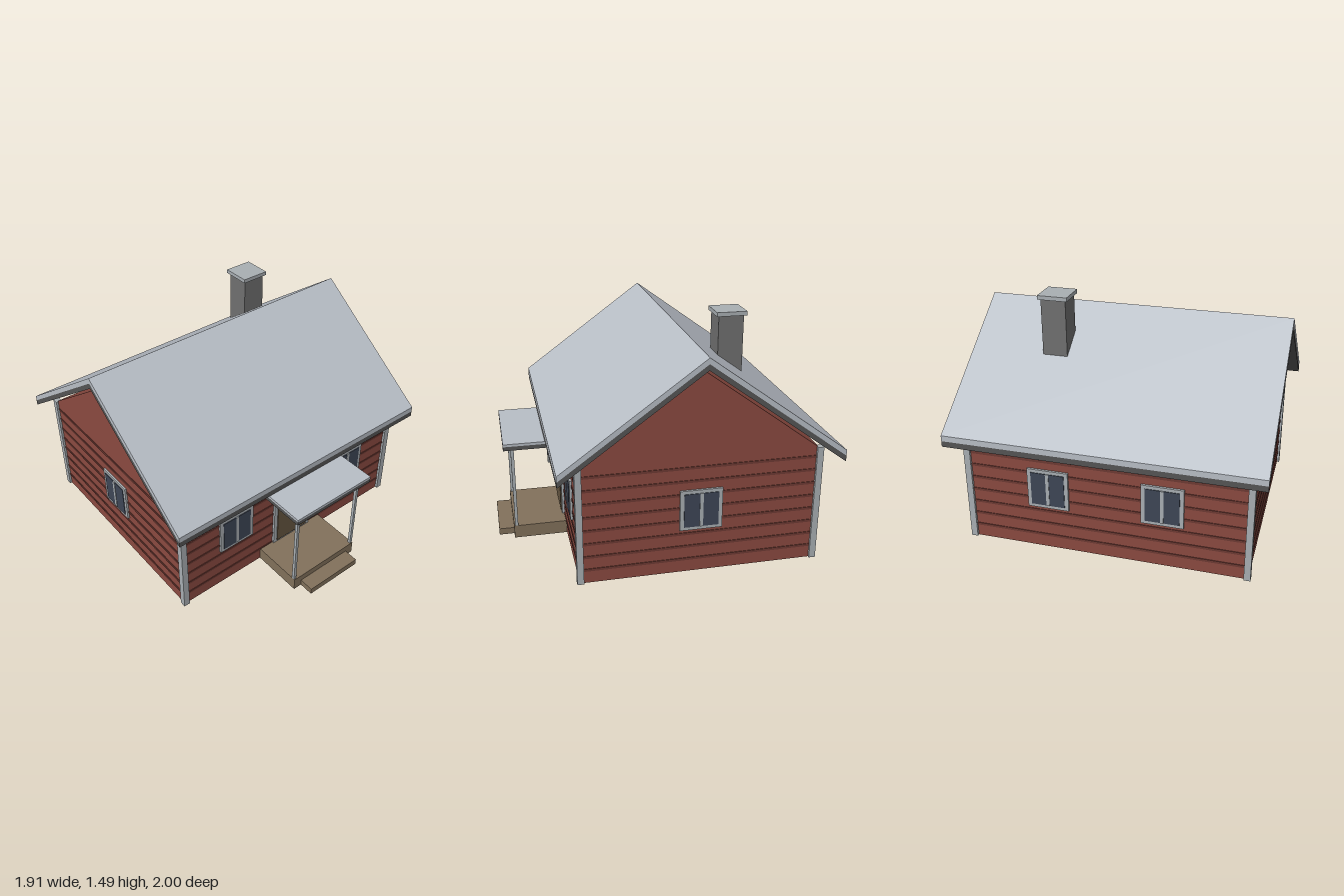
import * as THREE from 'three';

const mat = (color) => new THREE.MeshStandardMaterial({ color });
const M = {
  wall: mat(0x8b4a40), groove: mat(0x6e3a33), trim: mat(0xa9afb3), roof: mat(0xb8bec6),
  eave: mat(0x555555), glass: mat(0x3e4656), door: mat(0x655641), wood: mat(0x82715b),
  chimney: mat(0x707070), metal: mat(0xa8a48c),
};

const MID = -0.156; // z of the ridge
const HX = 0.865, HZ = 0.723; // half size of the walls

// Box given by its limits on each axis
function box(parent, name, material, [x0, x1], [y0, y1], [z0, z1]) {
  const mesh = new THREE.Mesh(new THREE.BoxGeometry(x1 - x0, y1 - y0, z1 - z0), material);
  mesh.position.set((x0 + x1) / 2, (y0 + y1) / 2, (z0 + z1) / 2);
  mesh.name = name;
  parent.add(mesh);
  return mesh;
}

// Gable-end outline in [z, y], extruded along x and centred
function gablePrism(parent, name, material, points, halfX) {
  const shape = new THREE.Shape(points.map(([z, y]) => new THREE.Vector2(-z, y)));
  const geo = new THREE.ExtrudeGeometry(shape, { depth: halfX * 2, bevelEnabled: false });
  geo.translate(0, 0, -halfX);
  geo.rotateY(Math.PI / 2);
  const mesh = new THREE.Mesh(geo, material);
  mesh.position.z = MID;
  mesh.name = name;
  parent.add(mesh);
}

// Chevron roof layer: top of ridge, top of eave, vertical thickness
function roofLayer(parent, name, material, ridge, eave, t) {
  const h = 0.844;
  gablePrism(parent, name, material, [
    [-h, eave], [0, ridge], [h, eave], [h, eave - t], [0, ridge - t], [-h, eave - t],
  ], 0.957);
}

// Two-pane window facing +z, its back on the wall plane
function makeWindow(x, z, angle) {
  const g = new THREE.Group();
  g.name = 'window';
  box(g, 'windowFrame', M.trim, [-0.128, 0.128], [-0.128, 0.128], [-0.01, 0.014]);
  for (const s of [-1, 1]) {
    const edges = [s * 0.01, s * 0.104].sort((a, b) => a - b);
    box(g, 'windowPane', M.glass, edges, [-0.107, 0.107], [0, 0.018]);
  }
  box(g, 'windowMullion', M.trim, [-0.01, 0.01], [-0.107, 0.107], [0, 0.021]);
  g.position.set(x, 0.413, z);
  g.rotation.y = angle;
  return g;
}

export function createModel() {
  const house = new THREE.Group();
  house.name = 'cottage';
  const front = MID + HZ, back = MID - HZ;

  // Walls with both gables
  gablePrism(house, 'walls', M.wall, [
    [-HZ, 0], [-HZ, 0.73], [0, 1.26], [HZ, 0.73], [HZ, 0],
  ], HX);

  // Siding lines round the house
  for (let i = 1; i <= 8; i++) {
    const y = i * 0.085;
    box(house, 'sidingLine', M.groove, [-HX - 0.004, HX + 0.004], [y - 0.008, y + 0.008],
      [back - 0.004, front + 0.004]);
  }

  // Corner boards
  for (const sx of [-1, 1]) for (const sz of [-1, 1]) {
    const board = box(house, 'cornerBoard', M.trim, [-0.02, 0.02], [0, 0.742], [-0.02, 0.02]);
    board.position.x = sx * 0.86;
    board.position.z = MID + sz * 0.719;
  }

  // Roof covering over a dark underlayer
  roofLayer(house, 'roofCovering', M.roof, 1.362, 0.747, 0.036);
  roofLayer(house, 'roofUnderlayer', M.eave, 1.326, 0.711, 0.036);

  // Chimney
  box(house, 'chimneyStack', M.chimney, [0.343, 0.497], [1.0, 1.462], [-0.497, -0.343]);
  box(house, 'chimneyCap', M.trim, [0.328, 0.512], [1.462, 1.487], [-0.512, -0.328]);

  // Windows on all four sides
  house.add(
    makeWindow(-0.46, front, 0), makeWindow(0.485, front, 0),
    makeWindow(-0.35, back, Math.PI), makeWindow(0.35, back, Math.PI),
    makeWindow(HX, MID, Math.PI / 2), makeWindow(-HX, MID, -Math.PI / 2),
  );

  // Door
  box(house, 'doorFrame', M.trim, [-0.153, 0.153], [0.085, 0.615], [front - 0.01, front + 0.016]);
  box(house, 'doorPanel', M.door, [-0.127, 0.127], [0.1, 0.597], [front, front + 0.022]);
  const knob = new THREE.Mesh(new THREE.SphereGeometry(0.009, 12, 8), M.metal);
  knob.name = 'doorKnob';
  knob.position.set(0.095, 0.34, front + 0.029);
  house.add(knob);

  // Porch: landing, step, posts and canopy
  box(house, 'porchLanding', M.wood, [-0.256, 0.256], [0, 0.085], [front - 0.01, 0.905]);
  box(house, 'porchStep', M.wood, [-0.198, 0.198], [0, 0.042], [0.905, 1.0]);
  for (const s of [-1, 1]) {
    box(house, 'porchPost', M.trim, [s * 0.247 - 0.009, s * 0.247 + 0.009], [0.085, 0.635], [0.879, 0.899]);
  }
  box(house, 'canopyFrame', M.eave, [-0.3, 0.3], [0.633, 0.659], [front, 0.945]);
  box(house, 'canopyCovering', M.roof, [-0.3, 0.3], [0.659, 0.675], [front, 0.945]);

  return house;
}
